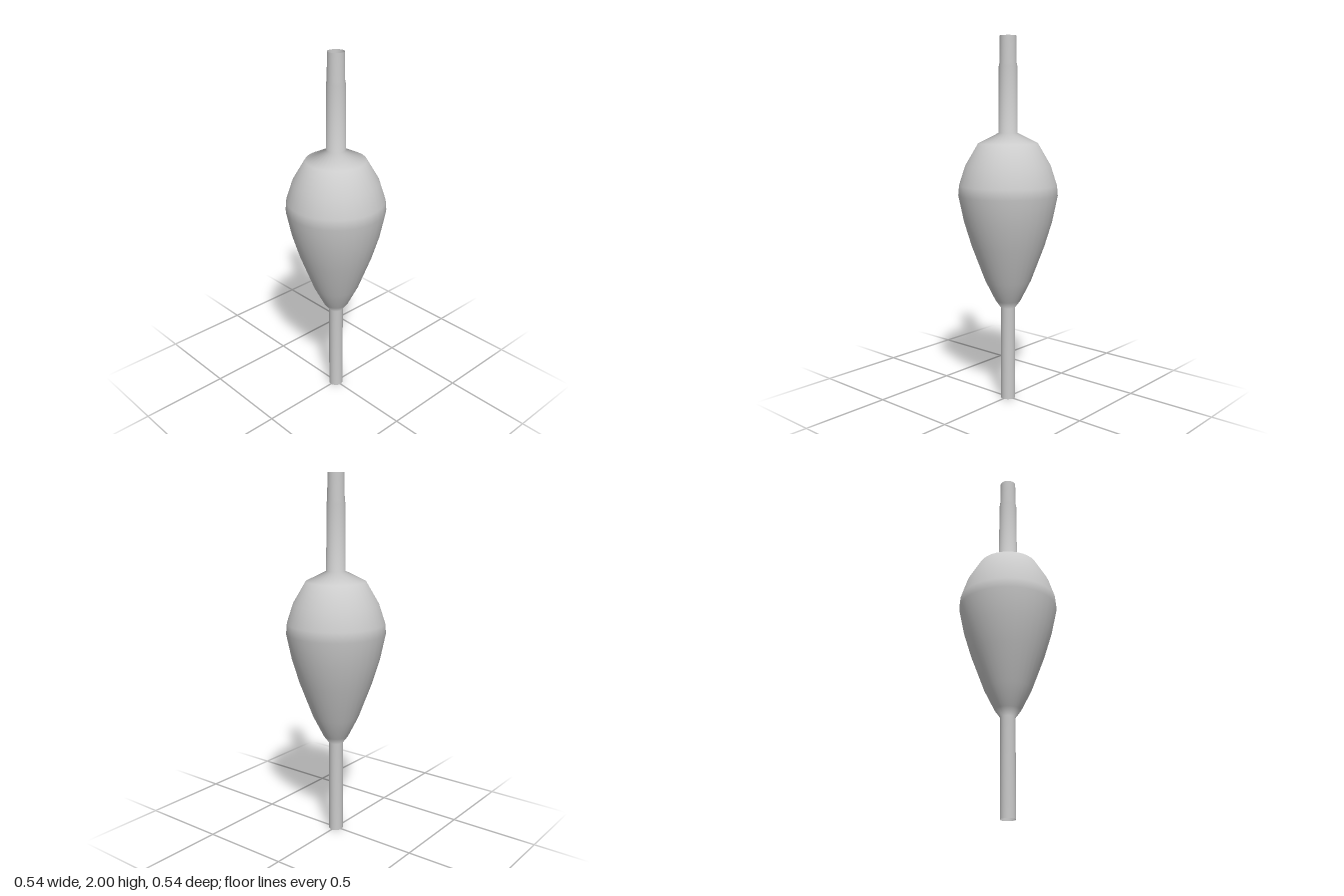
import * as THREE from 'three';

export function createModel() {
  const group = new THREE.Group();
  const material = new THREE.MeshStandardMaterial({ color: 0xcccccc, side: THREE.DoubleSide });

  // Outline as [radius, height], from the open lower end to the open upper end
  const stem = [[0.04, 0], [0.04, 0.525]];
  const bulb = [
    [0.07, 0.566], [0.127, 0.68], [0.2, 0.875], [0.241, 1.01],
    [0.271, 1.155], [0.266, 1.21], [0.232, 1.315], [0.162, 1.435],
  ];
  const neck = [[0.052, 1.49], [0.05, 1.84], [0.046, 1.86], [0.044, 2]];

  // Thin shell turned in one piece: stem, pear-shaped bulb and neck
  const profile = [...stem, ...bulb, ...neck].map(([r, y]) => new THREE.Vector2(r, y));
  const shell = new THREE.Mesh(new THREE.LatheGeometry(profile, 32), material);
  shell.name = 'hollowBulbWithStems';
  group.add(shell);

  return group;
}
